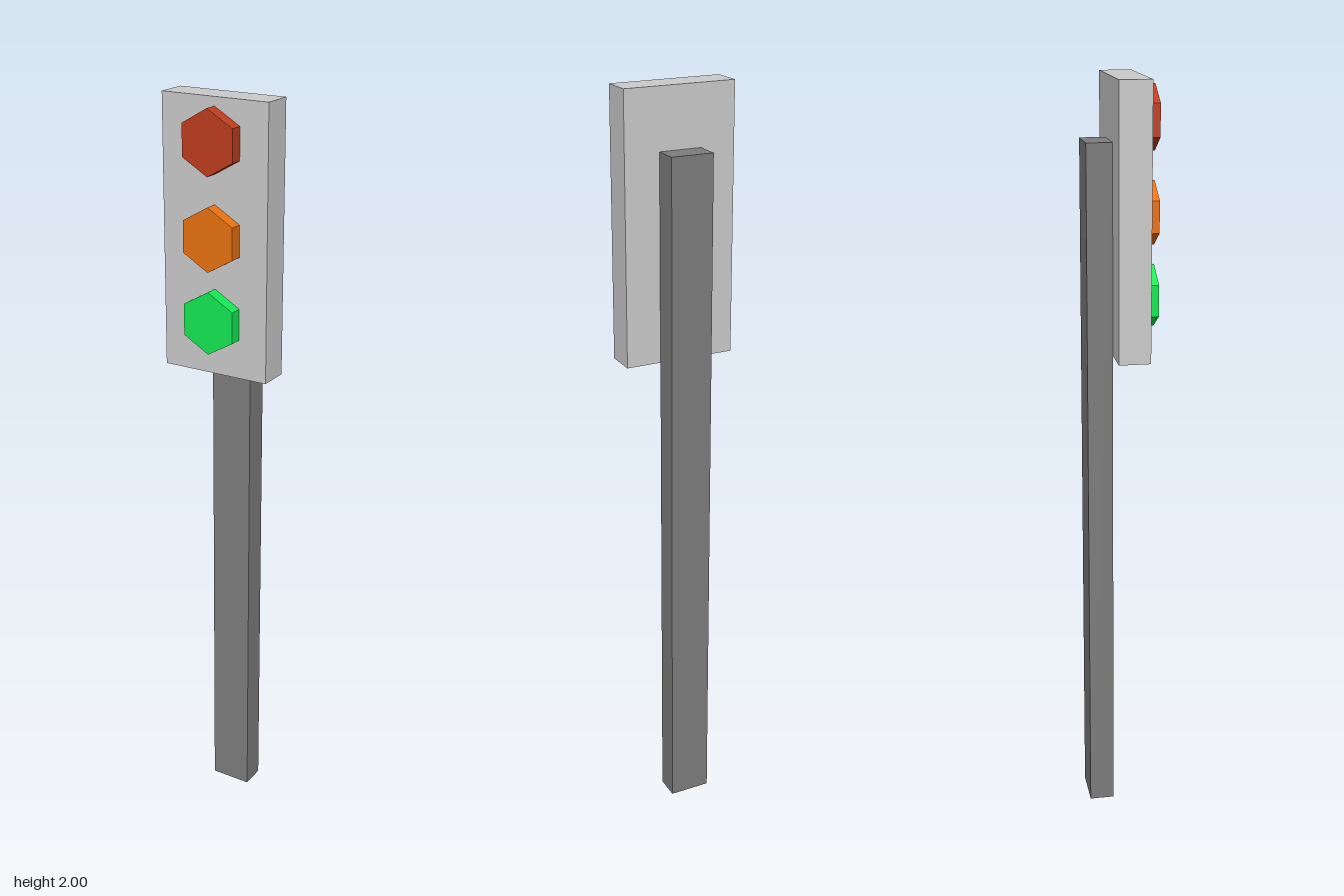
import * as THREE from 'three';

function addMesh(group, name, geometry, color, x, y, z) {
  const material = new THREE.MeshStandardMaterial({ color, flatShading: true });
  const mesh = new THREE.Mesh(geometry, material);
  mesh.name = name;
  mesh.position.set(x, y, z);
  group.add(mesh);
}

export function createModel() {
  const group = new THREE.Group();
  group.name = 'trafficLight';

  // Post standing behind the signal panel
  addMesh(group, 'post', new THREE.BoxGeometry(0.112, 1.845, 0.066), 0x7d7d7d, -0.001, 0.9225, -0.058);

  // Signal panel
  addMesh(group, 'panel', new THREE.BoxGeometry(0.295, 0.692, 0.082), 0xcccccc, 0, 1.654, 0.016);

  // Hexagonal lamps, a corner pointing up
  const lamps = [
    ['redLamp', 0xbf3d1f, 1.897],
    ['amberLamp', 0xe97210, 1.662],
    ['greenLamp', 0x13ea52, 1.45],
  ];
  for (const [name, color, y] of lamps) {
    const lamp = new THREE.CylinderGeometry(0.081, 0.081, 0.035, 6).rotateX(Math.PI / 2);
    addMesh(group, name, lamp, color, 0, y, 0.0735);
  }

  return group;
}
